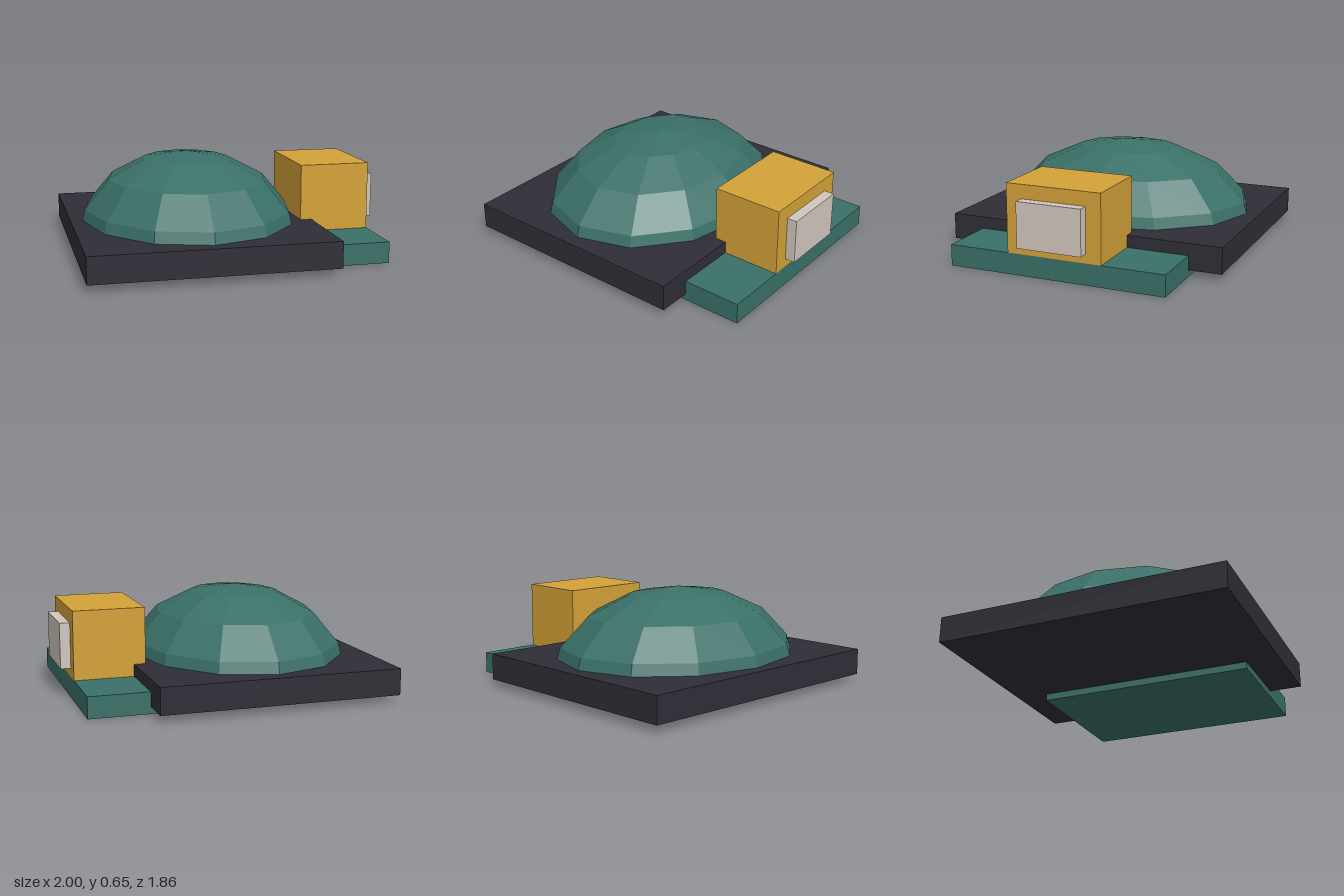
import * as THREE from 'three';

function material(name, color, flatShading = false) {
  const m = new THREE.MeshStandardMaterial({ color, flatShading });
  m.name = name;
  return m;
}

export function createModel() {
  const model = new THREE.Group();
  model.name = 'model';
  const green = material('deep green', 0x3a7068, true);
  const charcoal = material('charcoal', 0x2f2e37);
  const gold = material('ochre', 0xd3a138);
  const pale = material('pale grey', 0xd0c6bd);

  // Box given by its x and y extents and half depth
  function block(name, mat, x0, x1, y0, y1, halfZ) {
    const mesh = new THREE.Mesh(new THREE.BoxGeometry(x1 - x0, y1 - y0, halfZ * 2), mat);
    mesh.position.set((x0 + x1) / 2, (y0 + y1) / 2, 0);
    mesh.name = name;
    model.add(mesh);
  }

  block('baseSlab', charcoal, -1, 0.55, 0.045, 0.215, 0.93);
  block('lowerStep', green, 0.01, 0.935, 0, 0.137, 0.717);
  block('entranceBlock', gold, 0.475, 0.935, 0.137, 0.577, 0.312);
  block('entrancePanel', pale, 0.935, 1, 0.195, 0.487, 0.213);

  // Faceted oval dome, its rim sunk into the slab
  const dome = new THREE.Mesh(
    new THREE.SphereGeometry(1, 12, 4, 0, Math.PI * 2, 0, Math.PI / 2), green);
  dome.scale.set(0.736, 0.59, 0.891);
  dome.position.set(-0.224, 0.062, 0);
  dome.name = 'dome';
  model.add(dome);

  return model;
}
